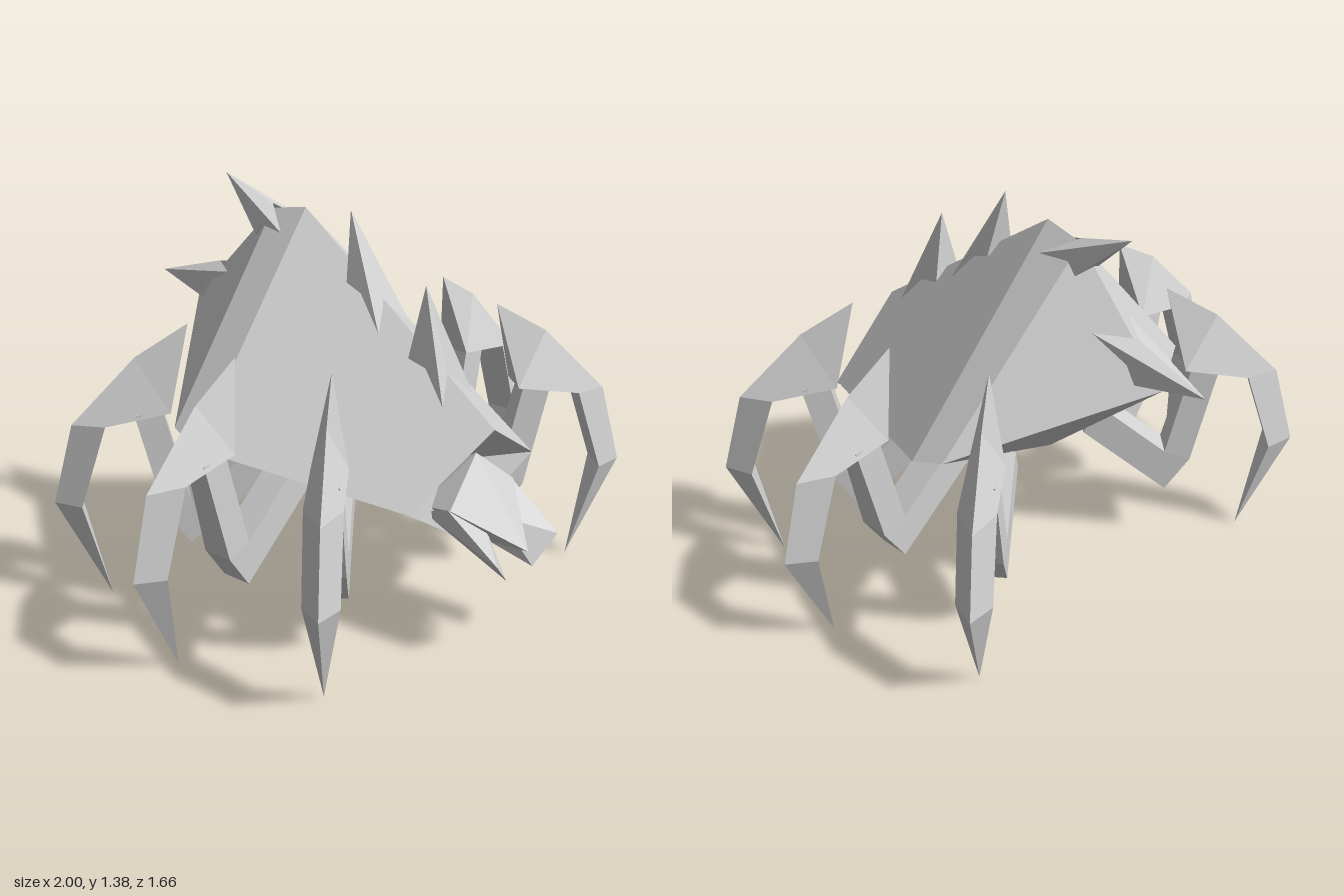
import * as THREE from 'three';
import { ConvexGeometry } from 'three/addons/geometries/ConvexGeometry.js';

const shell = new THREE.MeshStandardMaterial({ color: 0xd2d2d2 });
shell.name = 'paleGreyShell';

function part(name, geometry) {
  const mesh = new THREE.Mesh(geometry, shell);
  mesh.name = name;
  return mesh;
}

// Faceted geometry from polygons of [x, y, z] corners, one normal per polygon
function facets(polygons) {
  const positions = [], normals = [];
  for (const polygon of polygons) {
    const p = polygon.map((c) => new THREE.Vector3(...c));
    const normal = new THREE.Vector3();
    for (let i = 1; i < p.length - 1; i++) {
      positions.push(...polygon[0], ...polygon[i], ...polygon[i + 1]);
      normal.add(p[i].clone().sub(p[0]).cross(p[i + 1].clone().sub(p[0])));
    }
    normal.normalize();
    for (let i = 0; i < (p.length - 2) * 3; i++) normals.push(...normal.toArray());
  }
  const g = new THREE.BufferGeometry();
  g.setAttribute('position', new THREE.Float32BufferAttribute(positions, 3));
  g.setAttribute('normal', new THREE.Float32BufferAttribute(normals, 3));
  return g;
}

const flip = ([x, y, z]) => [-x, y, z];
const hull = (points) => new ConvexGeometry(points.map((p) => new THREE.Vector3(...p)));

// Peaked carapace with an overhanging brow and keeled belly: one half and its mirror image
function bodyGeometry() {
  const nose = [0, 0.74, 0.68], peak = [0, 1.32, -0.13], crest = [0, 1.29, -0.28], tail = [0, 0.9, -0.65];
  const frontRim = [0.33, 0.53, 0.6], midRim = [0.575, 0.635, -0.1], backRim = [0.55, 0.67, -0.22];
  const brow = [0, 0.58, 0.5], keelFront = [0, 0.315, 0.53], keelBack = [0, 0.465, -0.15];
  const half = [
    [frontRim, midRim, peak, nose], [peak, midRim, backRim, crest], [crest, backRim, tail],
    [tail, backRim, keelBack], [backRim, midRim, keelBack],
    [midRim, frontRim, keelBack], [frontRim, keelFront, keelBack],
    [frontRim, nose, brow], [frontRim, brow, keelFront],
  ];
  // Mirrored faces keep their first corner so that both halves split alike
  const mirrored = half.map(([first, ...rest]) => [first, ...rest.reverse()].map(flip));
  return facets([...half, ...mirrored]);
}

// Spike with two front barbs, two heel barbs and notches between them
function spikeGeometry(tip, barb, notch, heel) {
  const T = [0, ...tip], N = [0, ...notch], L = barb, H = heel;
  const S = T.map((t, i) => 0.15 * t + 0.425 * (L[i] + H[i]));
  const [L2, H2, S2] = [L, H, S].map(flip);
  return facets([
    [T, L2, N], [T, N, L], [T, L, S], [T, S, H],
    [T, S2, L2], [T, H2, S2], [T, H, H2],
    [N, L2, S2, H2, H, S, L],
  ]);
}

// Hooked claw, lofted through triangular sections [outer r, y, inner r, y, half width]
function clawGeometry() {
  const rings = [
    [0.53, 0.98, 0.53, 0.98, 0],
    [0.71, 0.87, 0.6, 0.685, 0.06],
    [0.93, 0.64, 0.82, 0.65, 0.062],
    [1.0, 0.36, 0.91, 0.36, 0.06],
    [0.82, 0, 0.82, 0, 0],
  ].map(([ro, yo, ri, yi, w]) => [[ro, yo, 0], [ri, yi, w], [ri, yi, -w]]);
  const faces = [];
  for (let i = 0; i < rings.length - 1; i++) {
    const a = rings[i], b = rings[i + 1];
    for (let j = 0; j < 3; j++) {
      const k = (j + 1) % 3;
      if (i === 0) faces.push([a[0], b[k], b[j]]);
      else if (i === rings.length - 2) faces.push([a[j], a[k], b[0]]);
      else faces.push([a[j], a[k], b[k], b[j]]);
    }
  }
  return facets(faces);
}

// Bent arm from the belly down to the elbow and up, narrowing, into the claw
function armGeometry() {
  const outline = [[0.25, 0.45], [0.545, 0.2], [0.63, 0.32], [0.72, 0.675], [0.625, 0.69], [0.54, 0.355], [0.31, 0.55]];
  const shape = new THREE.Shape(outline.map(([x, y]) => new THREE.Vector2(x, y)));
  const g = new THREE.ExtrudeGeometry(shape, { depth: 0.112, bevelEnabled: false });
  g.translate(0, 0, -0.056);
  const p = g.attributes.position;
  for (let i = 0; i < p.count; i++) if (p.getY(i) > 0.6) p.setZ(i, p.getZ(i) * 0.75);
  g.computeVertexNormals();
  return g;
}

export function createModel() {
  const model = new THREE.Group();
  model.name = 'spikedCrab';
  model.add(part('body', bodyGeometry()));

  // Spikes along the ridge, front to back; tip and notch are [y, z]
  const spikes = [
    [[1.16, 0.39], [0.08, 0.8, 0.53], [0.885, 0.485], [0.055, 0.92, 0.365]],
    [[1.35, 0.07], [0.08, 0.985, 0.26], [1.07, 0.215], [0.055, 1.12, 0.1]],
    [[1.375, -0.5], [0.08, 1.24, -0.17], [1.305, -0.28], [0.055, 1.2, -0.31]],
    [[0.95, -0.83], [0.085, 1.05, -0.42], [1.045, -0.54], [0.055, 0.915, -0.58]],
  ];
  spikes.forEach((s, i) => model.add(part('ridgeSpike' + (i + 1), spikeGeometry(...s))));

  // Wedge head
  const head = new THREE.Group();
  head.name = 'head';
  head.add(part('face', hull([
    [0, 0.64, 0.61], [0.17, 0.5, 0.64], [-0.17, 0.5, 0.64], [0, 0.355, 0.83],
    [0, 0.33, 0.56], [0.15, 0.47, 0.5], [-0.15, 0.47, 0.5], [0, 0.57, 0.5],
  ])));

  // Chisel-ended jaws either side of the face
  const jaw = [
    [0.165, 0.36, 0.83], [0.07, 0.265, 0.8], [0.17, 0.5, 0.63],
    [0.16, 0.46, 0.52], [0.03, 0.34, 0.56], [0.04, 0.42, 0.68],
  ];
  head.add(part('leftJaw', hull(jaw)), part('rightJaw', hull(jaw.map(flip))));
  model.add(head);

  // Six legs fanned around one centre
  const claw = clawGeometry(), arm = armGeometry();
  const fan = [['front', 36.5], ['middle', 0], ['back', -39.5]];
  for (const [name, degrees] of fan) {
    for (const side of ['Left', 'Right']) {
      const angle = THREE.MathUtils.degToRad(degrees);
      const leg = new THREE.Group();
      leg.name = name + side + 'Leg';
      leg.add(part('claw', claw), part('arm', arm));
      leg.position.z = 0.047;
      leg.rotation.y = side === 'Left' ? -angle : Math.PI + angle;
      model.add(leg);
    }
  }
  return model;
}
